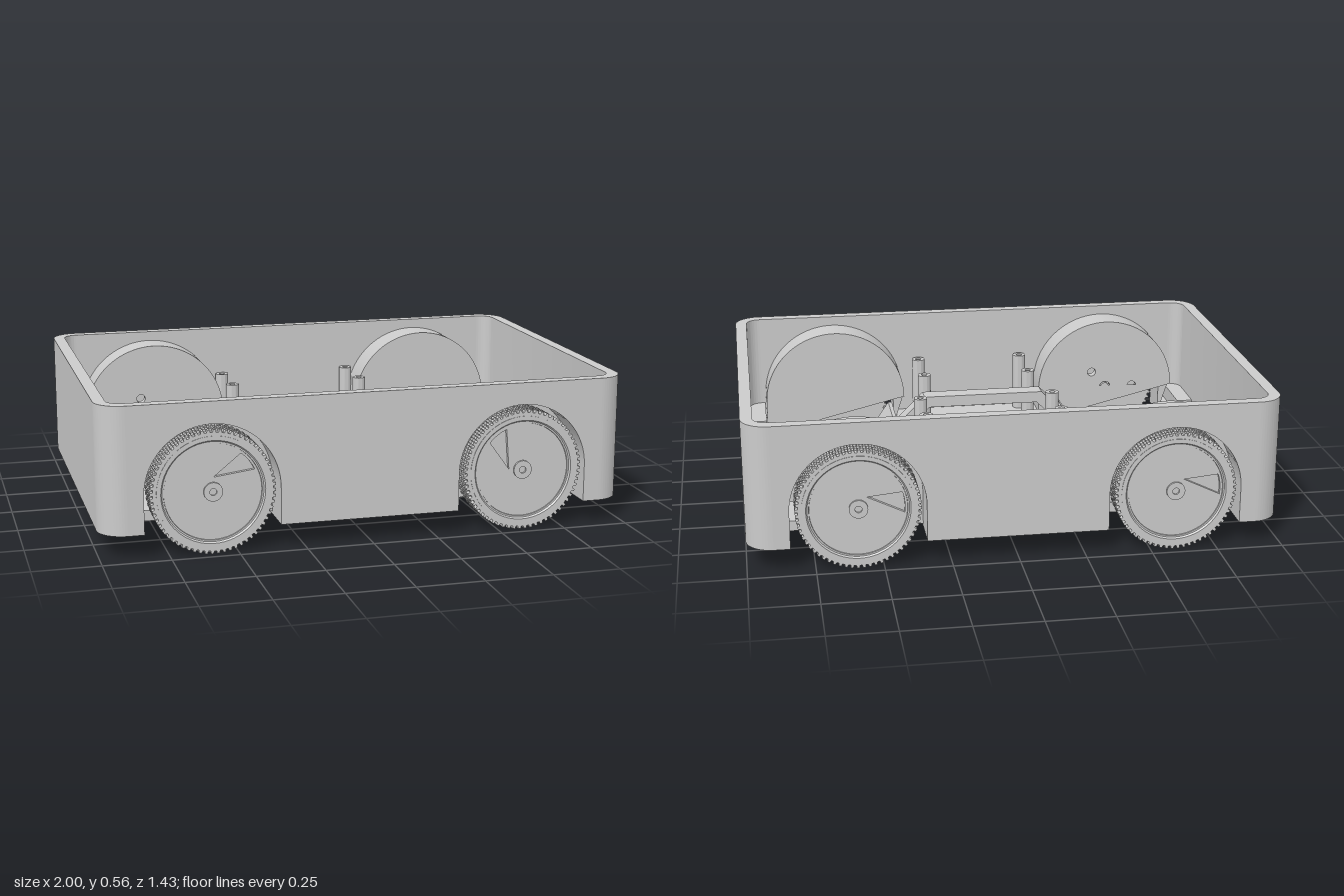
import * as THREE from 'three';
import { toCreasedNormals } from 'three/addons/utils/BufferGeometryUtils.js';

const material = new THREE.MeshStandardMaterial({ color: 0xcccccc });
const BOTTOM = 0.09, TOP = 0.565, FLOOR = 0.13;
const AXLE_X = 0.59, AXLE_Y = 0.232;

function add(parent, name, geometry, x = 0, y = 0, z = 0) {
  const mesh = new THREE.Mesh(geometry, material);
  mesh.name = name;
  mesh.position.set(x, y, z);
  parent.add(mesh);
  return mesh;
}

const box = (parent, name, x0, x1, y0, y1, z0, z1) =>
  add(parent, name, new THREE.BoxGeometry(x1 - x0, y1 - y0, z1 - z0),
    (x0 + x1) / 2, (y0 + y1) / 2, (z0 + z1) / 2);

const extrude = (shape, depth) => toCreasedNormals(
  new THREE.ExtrudeGeometry(shape, { depth, bevelEnabled: false, curveSegments: 32 }), 0.5);

// extrude a plan outline upwards
const extrudeUp = (shape, height) => extrude(shape, height).rotateX(-Math.PI / 2);

const polygon = (points) => new THREE.Shape(points.map(([x, y]) => new THREE.Vector2(x, y)));

const circle = (x, y, r) => new THREE.Path().absarc(x, y, r, 0, Math.PI * 2, false);

// toothed ring for one row of tyre tread
function treadRow(teeth, inner, root, tip, depth, phase) {
  const points = [];
  const pitch = (Math.PI * 2) / teeth;
  for (let i = 0; i < teeth; i++) {
    [[0, root], [0.4, root], [0.5, tip], [0.9, tip]].forEach(([f, r]) => {
      const a = (i + f + phase) * pitch;
      points.push([r * Math.cos(a), r * Math.sin(a)]);
    });
  }
  const shape = polygon(points);
  shape.holes.push(circle(0, 0, inner));
  return new THREE.ExtrudeGeometry(shape, { depth, bevelEnabled: false, curveSegments: 24 });
}

// wheel whose outer face looks along +z
function createWheel(slotAngle) {
  const wheel = new THREE.Group();
  wheel.name = 'wheel';
  for (let i = 0; i < 5; i++) {
    add(wheel, 'tyreTread', treadRow(64, 0.2, 0.22, 0.23, 0.0222, (i % 2) * 0.5), 0, 0, 0.002 + i * 0.0222);
  }
  const profile = [[0, 0], [0.207, 0], [0.207, 0.115], [0.191, 0.115], [0.186, 0.108],
    [0.18, 0.108], [0.178, 0.09], [0, 0.09]].map(([r, h]) => new THREE.Vector2(r, h));
  add(wheel, 'rim', toCreasedNormals(new THREE.LatheGeometry(profile, 64).rotateX(Math.PI / 2), 0.5));

  // face plate with one slot reaching from hub to rim
  const plate = new THREE.Shape().absarc(0, 0, 0.179, 0, Math.PI * 2, false);
  const slot = new THREE.Path().moveTo(0.035, -0.04);
  slot.absarc(0, 0, 0.17, -0.237, 0.237, false);
  slot.lineTo(0.035, 0.04);
  slot.closePath();
  plate.holes.push(slot);
  add(wheel, 'facePlate', extrude(plate, 0.014).rotateZ(slotAngle), 0, 0, 0.09);

  const hub = new THREE.Shape().absarc(0, 0, 0.035, 0, Math.PI * 2, false);
  hub.holes.push(circle(0, 0, 0.013));
  add(wheel, 'hub', extrude(hub, 0.022), 0, 0, 0.09);
  add(wheel, 'axle', new THREE.CylinderGeometry(0.018, 0.018, 0.07, 20).rotateX(Math.PI / 2), 0, 0, -0.03);
  return wheel;
}

// arched cover over a wheel, open to the outside and below
function createHousing(extraHoles) {
  const housing = new THREE.Group();
  housing.name = 'wheelHousing';
  const R = 0.295, r = 0.25;

  const shell = new THREE.Shape().moveTo(-R, BOTTOM);
  shell.absarc(0, AXLE_Y, R, Math.PI, 0, true);
  shell.lineTo(R, BOTTOM);
  shell.lineTo(r, BOTTOM);
  shell.absarc(0, AXLE_Y, r, 0, Math.PI, false);
  shell.lineTo(-r, BOTTOM);
  add(housing, 'housingArch', extrude(shell, 0.1), 0, 0, 0.57);

  const plate = new THREE.Shape().moveTo(-R, BOTTOM);
  plate.absarc(0, AXLE_Y, R, Math.PI, 0, true);
  plate.lineTo(R, BOTTOM);
  plate.holes.push(circle(0, AXLE_Y, 0.024));
  if (extraHoles) plate.holes.push(circle(-0.12, AXLE_Y, 0.02), circle(0.06, AXLE_Y + 0.07, 0.018));
  add(housing, 'housingPlate', extrude(plate, 0.035), 0, 0, 0.535);
  return housing;
}

// long side panel with its two wheels and housings, facing +z
function createLongSide(slotAngles) {
  const side = new THREE.Group();
  const panel = new THREE.Shape().moveTo(-0.9, TOP);
  panel.lineTo(-0.9, BOTTOM);
  [-AXLE_X, AXLE_X].forEach((x, i) => {
    panel.lineTo(x - 0.25, BOTTOM);
    panel.absarc(x, AXLE_Y, 0.25, Math.PI, 0, true);
    panel.lineTo(x + 0.25, BOTTOM);
    const wheel = createWheel(slotAngles[i]);
    wheel.position.set(x, AXLE_Y, 0.602);
    const housing = createHousing((i === 0) === (slotAngles[0] > 0.5));
    housing.position.x = x;
    side.add(wheel, housing);
  });
  panel.lineTo(0.9, BOTTOM);
  panel.lineTo(0.9, TOP);
  add(side, 'sidePanel', extrude(panel, 0.045), 0, 0, 0.665);

  // floor strips between and beyond the wheel openings
  box(side, 'floorStrip', -0.34, 0.34, BOTTOM, FLOOR, 0.54, 0.668);
  for (const s of [-1, 1]) {
    const [x0, x1] = s > 0 ? [0.84, 0.957] : [-0.957, -0.84];
    box(side, 'floorCorner', x0, x1, BOTTOM, FLOOR, 0.54, 0.666);
    const [b0, b1] = s > 0 ? [0.89, 0.957] : [-0.957, -0.89];
    box(side, 'cornerBlock', b0, b1, FLOOR, 0.19, 0.42, 0.666);
  }
  return side;
}

// end wall with rounded corners, plus the sloped rail and divider of its bay, at +x
function createEnd() {
  const end = new THREE.Group();
  const wall = new THREE.Shape().moveTo(0.9, -0.71);
  wall.absarc(0.9, -0.61, 0.1, -Math.PI / 2, 0, false);
  wall.absarc(0.9, 0.61, 0.1, 0, Math.PI / 2, false);
  wall.lineTo(0.9, 0.665);
  wall.absarc(0.9, 0.61, 0.055, Math.PI / 2, 0, true);
  wall.absarc(0.9, -0.61, 0.055, 0, -Math.PI / 2, true);
  add(end, 'endWall', extrudeUp(wall, TOP - BOTTOM), 0, BOTTOM, 0);

  const rail = polygon([[0.35, FLOOR - 0.01], [0.42, FLOOR - 0.01], [0.42, FLOOR], [0.365, 0.21], [0.35, 0.21]]);
  for (const z of [-0.535, 0.035]) add(end, 'slopedRail', extrude(rail, 0.5), 0, 0, z);
  box(end, 'bayDivider', 0.36, 0.957, FLOOR - 0.01, 0.18, -0.035, 0.035);
  return end;
}

export function createModel() {
  const model = new THREE.Group();
  model.name = 'wheeledChassis';

  const front = createLongSide([0.68, 2.2]);
  front.name = 'frontSide';
  const back = createLongSide([0.1, 0.1]);
  back.name = 'backSide';
  back.rotation.y = Math.PI;
  const left = createEnd();
  left.name = 'leftEnd';
  const right = createEnd();
  right.name = 'rightEnd';
  right.rotation.y = Math.PI;
  model.add(front, back, left, right);

  // floor with its central opening
  const floor = polygon([[-0.957, -0.54], [0.957, -0.54], [0.957, 0.54], [-0.957, 0.54]]);
  const x0 = -0.218, x1 = 0.215, y0 = -0.38, y1 = 0.388, c = 0.02;
  const opening = new THREE.Path().moveTo(x0 + c, y0);
  opening.absarc(x1 - c, y0 + c, c, -Math.PI / 2, 0, false);
  opening.absarc(x1 - c, y1 - c, c, 0, Math.PI / 2, false);
  opening.absarc(x0 + c, y1 - c, c, Math.PI / 2, Math.PI, false);
  opening.absarc(x0 + c, y0 + c, c, Math.PI, Math.PI * 1.5, false);
  floor.holes.push(opening);
  add(model, 'floor', extrudeUp(floor, FLOOR - BOTTOM), 0, BOTTOM, 0);

  // raised bridges spanning the opening
  const bridge = polygon([[-0.36, FLOOR], [-0.36, 0.225], [-0.245, 0.34], [0.245, 0.34], [0.36, 0.225],
    [0.36, FLOOR], [0.31, FLOOR], [0.31, 0.21], [0.225, 0.295], [-0.225, 0.295], [-0.31, 0.21], [-0.31, FLOOR]]);
  for (const z of [-0.268, 0.192]) add(model, 'bridge', extrude(bridge, 0.07), 0, 0, z);

  // hollow mounting posts
  const ring = new THREE.Shape().absarc(0, 0, 0.027, 0, Math.PI * 2, false);
  ring.holes.push(circle(0, 0, 0.012));
  const post = extrudeUp(ring, 0.37 - FLOOR + 0.01);
  for (const [x, z] of [[0.278, -0.64], [0.278, -0.42], [0.272, -0.108], [0.272, 0.098], [0.222, 0.4], [0.222, 0.625]]) {
    for (const s of [-1, 1]) add(model, 'mountingPost', post, s * x, FLOOR - 0.01, z);
  }
  return model;
}
